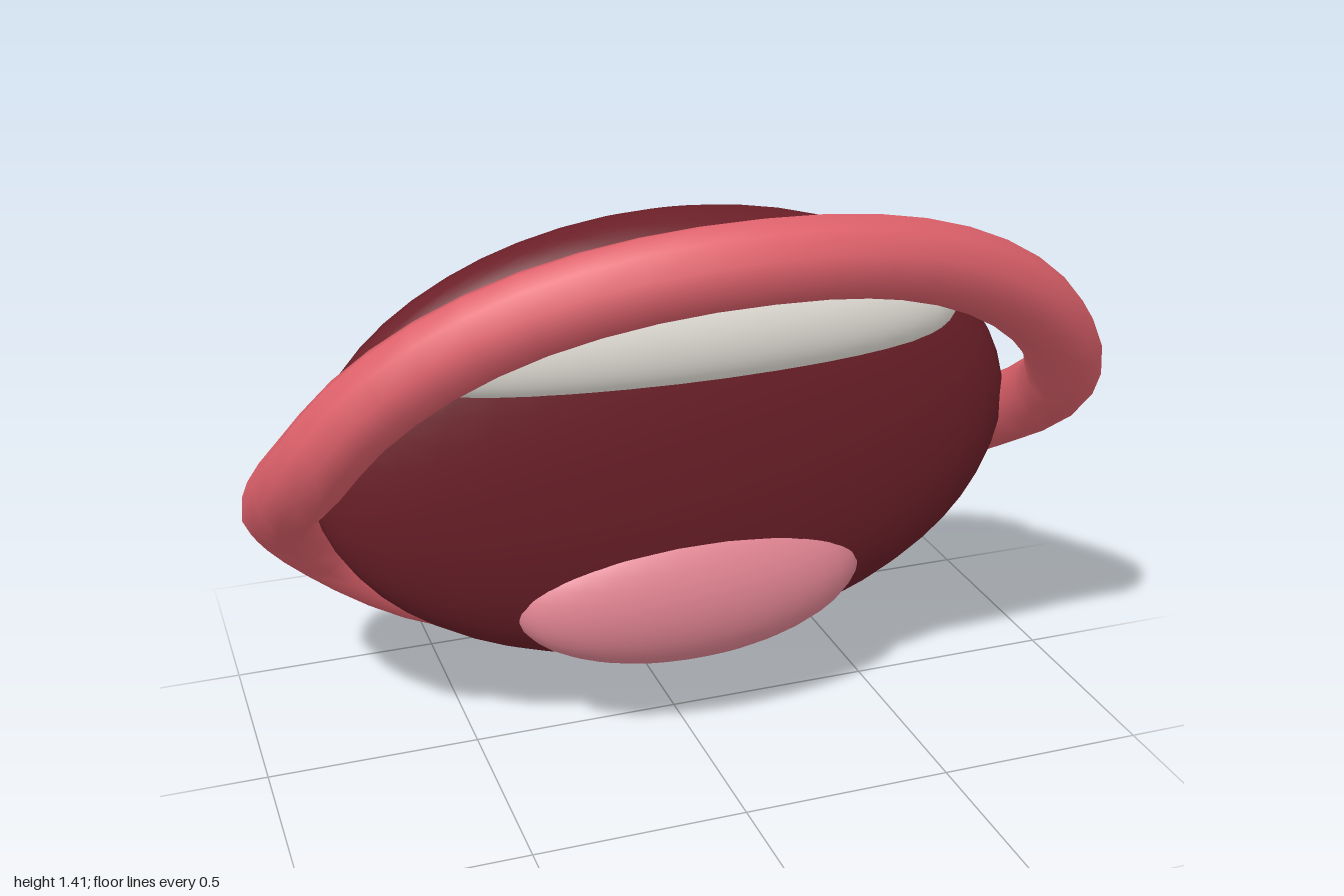
import * as THREE from 'three';

// Depth of the lip centreline every 15 degrees, from the bottom up one side to the top
const LIP_Z = [-0.53, -0.5, -0.455, -0.445, -0.395, -0.24, 0.02, 0.235, 0.335, 0.41, 0.475, 0.53, 0.555];

function lipGeometry() {
  const points = [];
  for (let i = 0; i < 24; i++) {
    const t = (i * Math.PI) / 12;
    const k = (i + 6) % 24;
    points.push(new THREE.Vector3(0.912 * Math.cos(t), 0.705 + 0.615 * Math.sin(t), LIP_Z[k > 12 ? 24 - k : k]));
  }
  const curve = new THREE.CatmullRomCurve3(points, true, 'centripetal');
  const steps = 48, sides = 10, radius = 0.089;
  const position = [], index = [];
  for (let i = 0; i < steps; i++) {
    const p = curve.getPoint(i / steps);
    const tangent = curve.getTangent(i / steps);
    // Section axes: outward across the face, and through its depth
    const out = new THREE.Vector3(p.x / 0.83, (p.y - 0.705) / 0.378, 0).normalize();
    out.addScaledVector(tangent, -out.dot(tangent)).normalize();
    const depth = new THREE.Vector3().crossVectors(tangent, out);
    // The lower lip is fuller
    const low = THREE.MathUtils.smoothstep(0.705 - p.y, 0.15, 0.6);
    const fullness = 1 + 0.36 * low;
    for (let j = 0; j < sides; j++) {
      const a = (j / sides) * Math.PI * 2;
      const v = p.clone()
        .addScaledVector(out, radius * Math.cos(a))
        .addScaledVector(depth, radius * fullness * Math.sin(a));
      position.push(v.x, v.y, v.z);
      const i2 = (i + 1) % steps, j2 = (j + 1) % sides;
      const q = [i * sides + j, i * sides + j2, i2 * sides + j2, i2 * sides + j];
      index.push(q[0], q[1], q[3], q[1], q[2], q[3]);
    }
  }
  const geometry = new THREE.BufferGeometry();
  geometry.setAttribute('position', new THREE.Float32BufferAttribute(position, 3));
  geometry.setIndex(index);
  geometry.computeVertexNormals();
  return geometry;
}

// Unit sphere whose vertices are moved by a rule
function shapedSphere(rule) {
  const geometry = new THREE.SphereGeometry(1, 40, 28);
  const pos = geometry.attributes.position;
  const v = new THREE.Vector3();
  for (let i = 0; i < pos.count; i++) {
    rule(v.fromBufferAttribute(pos, i));
    pos.setXYZ(i, v.x, v.y, v.z);
  }
  geometry.computeVertexNormals();
  return geometry;
}

export function createModel() {
  const model = new THREE.Group();
  const add = (name, geometry, color) => {
    const mesh = new THREE.Mesh(geometry, new THREE.MeshStandardMaterial({ color }));
    mesh.name = name;
    model.add(mesh);
    return mesh;
  };

  add('lips', lipGeometry(), 0xe0626c);

  // Dark lens with a slightly fuller front
  const cavity = add('mouthCavity', shapedSphere((v) => {
    if (v.z > 0) v.z = Math.pow(v.z, 0.85);
    v.multiply(new THREE.Vector3(0.85, 0.545, 0.237));
  }), 0x6b1f28);
  cavity.position.set(0, 0.725, -0.018);

  // Upper teeth: one blunt-ended bar, bent back toward its ends
  const teeth = add('upperTeeth', shapedSphere((v) => {
    const r = Math.hypot(v.y, v.z);
    const s = r > 1e-6 ? Math.pow(r, 0.65) / r : 0;
    const bend = v.x * v.x;
    v.set(v.x * 0.66, v.y * s * 0.143 - 0.03 * bend, v.z * s * 0.083 - 0.055 * bend);
  }), 0xf0ece4);
  teeth.position.set(0, 1.058, 0.158);

  const tongue = add('tongue', new THREE.SphereGeometry(1, 32, 20), 0xe58795);
  tongue.scale.set(0.43, 0.197, 0.135);
  tongue.position.set(0, 0.4, 0.11);

  return model;
}
